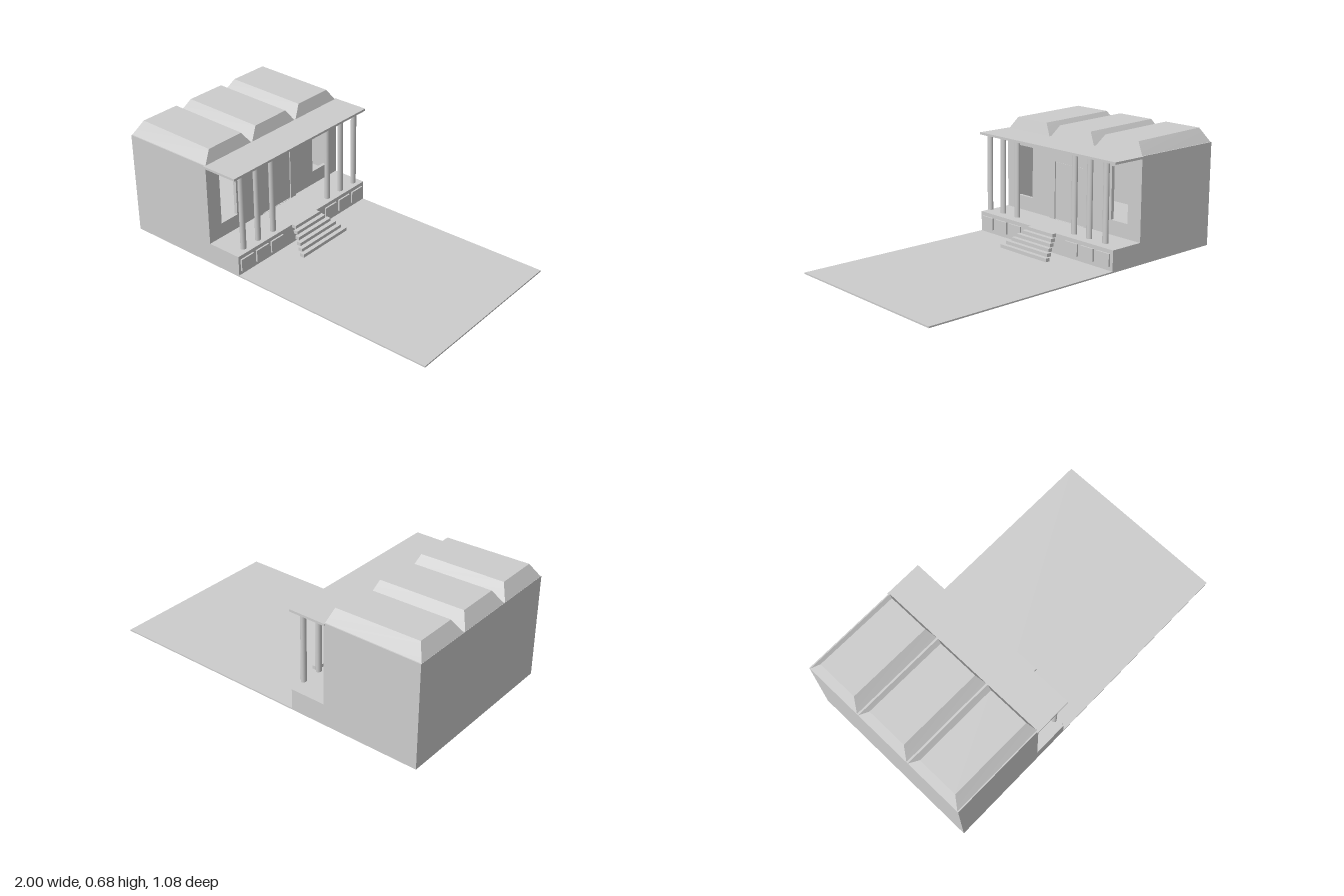
import * as THREE from 'three';

export function createModel() {
  const model = new THREE.Group();
  model.name = 'house';
  const grey = new THREE.MeshStandardMaterial({ color: 0xcccccc });
  grey.name = 'light grey';

  const add = (name, geometry) => {
    const mesh = new THREE.Mesh(geometry, grey);
    mesh.name = name;
    model.add(mesh);
    return mesh;
  };
  // Box given by its limits on each axis
  const box = (name, x0, x1, y0, y1, z0, z1) => {
    const mesh = add(name, new THREE.BoxGeometry(x1 - x0, y1 - y0, z1 - z0));
    mesh.position.set((x0 + x1) / 2, (y0 + y1) / 2, (z0 + z1) / 2);
    return mesh;
  };
  const rect = (Type, z0, z1, y0, y1) =>
    new Type().moveTo(z0, y0).lineTo(z1, y0).lineTo(z1, y1).lineTo(z0, y1).closePath();
  // Flat panel facing +x, with rectangular holes, its front at x
  const facade = (name, x, depth, outline, holes) => {
    const shape = rect(THREE.Shape, ...outline);
    holes.forEach((h) => shape.holes.push(rect(THREE.Path, ...h)));
    const mesh = add(name, new THREE.ExtrudeGeometry(shape, { depth, bevelEnabled: false }));
    mesh.rotation.y = -Math.PI / 2;
    mesh.position.x = x;
  };

  // Ground and raised floor
  box('yard', -1, 1, 0, 0.008, -0.535, 0.535);
  box('floorBase', -1, -0.22, 0.004, 0.125, -0.535, 0.535);

  // Hollow house with open windows
  box('backWall', -1, -0.98, 0.125, 0.6, -0.535, 0.535);
  for (const s of [-1, 1]) {
    box('sideWall', -0.98, -0.43, 0.125, 0.6, Math.min(s * 0.515, s * 0.535), Math.max(s * 0.515, s * 0.535));
  }
  box('ceiling', -0.98, -0.45, 0.585, 0.6, -0.515, 0.515);
  facade('frontWall', -0.43, 0.02, [-0.515, 0.515, 0.125, 0.6],
    [[-0.44, -0.318, 0.21, 0.512], [0.318, 0.44, 0.21, 0.512]]);

  // Doorway surround and door
  facade('doorSurround', -0.42, 0.012, [-0.16, 0.163, 0.125, 0.54], [[-0.115, 0.12, 0.126, 0.465]]);
  box('door', -0.44, -0.427, 0.125, 0.461, -0.115, 0.12);

  // Porch roof, columns and base panels
  box('porchRoof', -0.44, -0.218, 0.587, 0.6, -0.541, 0.541);
  for (const z of [0.475, 0.36, 0.24, -0.225, -0.34, -0.46]) {
    const column = add('column', new THREE.CylinderGeometry(0.018, 0.018, 0.442, 24));
    column.scale.x = 0.8;
    column.position.set(-0.238, 0.367, z);
  }
  for (const z of [0.472, 0.353, 0.234, -0.228, -0.348, -0.467]) {
    box('basePanel', -0.222, -0.21, 0.032, 0.103, z - 0.048, z + 0.048);
  }

  // Floating steps, wider towards the ground
  for (let i = 0; i < 6; i++) {
    const x = -0.22 + i * 0.0255, top = 0.126 - i * 0.0192, half = 0.103 + i * 0.0165;
    box('step', x, x + 0.0275, top - 0.02, top, -half, half);
  }

  // Three tapered roof blocks
  for (const [z0, z1] of [[-0.53, -0.182], [-0.174, 0.174], [0.182, 0.53]]) {
    const geometry = new THREE.BoxGeometry(1, 1, 1);
    const p = geometry.attributes.position;
    for (let i = 0; i < p.count; i++) {
      const front = p.getX(i) > 0, left = p.getZ(i) > 0;
      if (p.getY(i) > 0) {
        p.setXYZ(i, front ? -0.457 : -0.955, front ? 0.67 : 0.68, left ? z1 - 0.054 : z0 + 0.05);
      } else {
        p.setXYZ(i, front ? -0.434 : -1, 0.598, left ? z1 : z0);
      }
    }
    geometry.computeVertexNormals();
    add('roofBlock', geometry);
  }
  return model;
}
